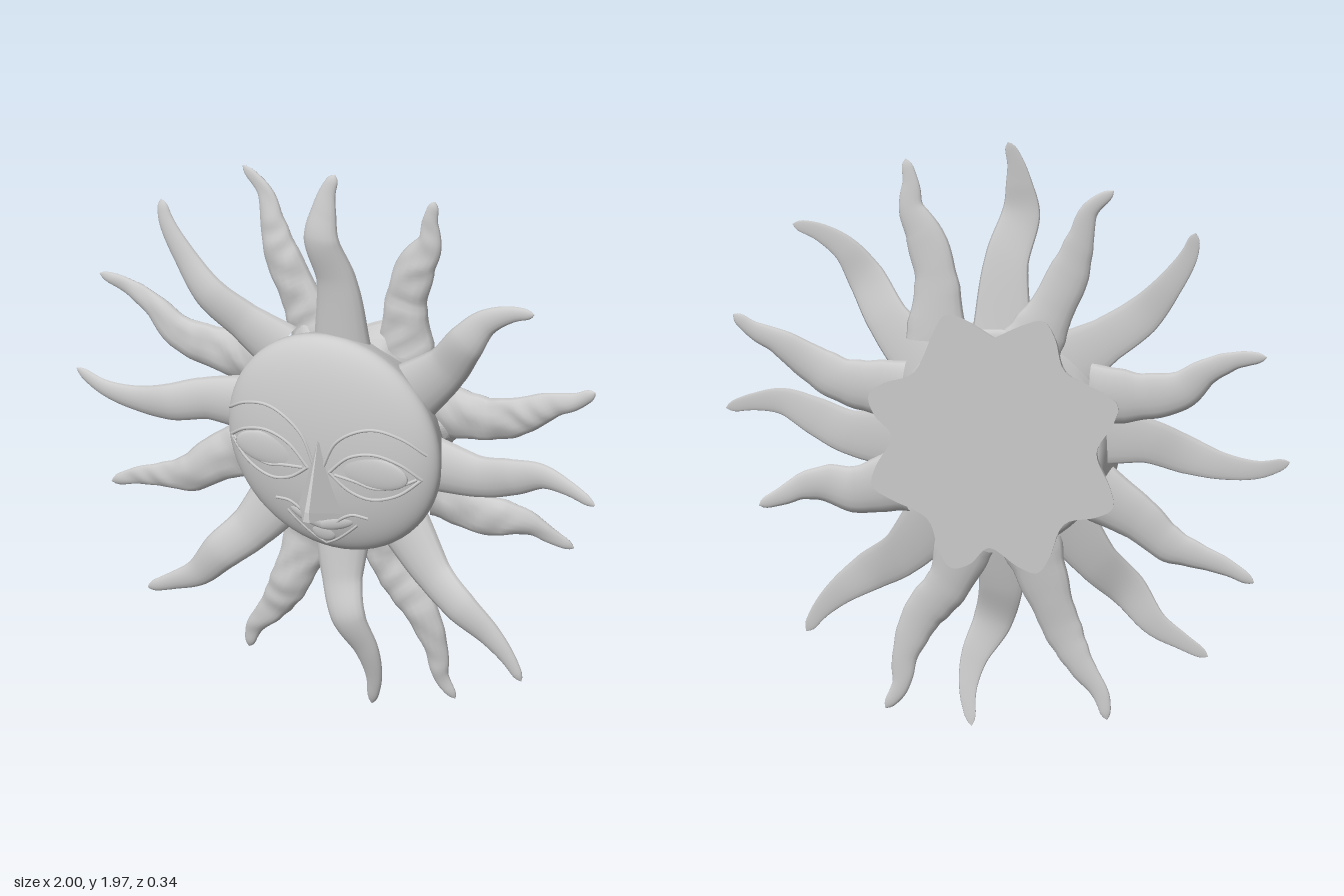
import * as THREE from 'three';
import { ConvexGeometry } from 'three/addons/geometries/ConvexGeometry.js';

const material = new THREE.MeshStandardMaterial({ color: 0xcccccc });
const CX = 0.01, CY = 0.98, R = 0.39, BACK = -0.17;

// Each ray: six centreline points x, y from root to tip, then z at the middle and at the tip
const FRONT_RAYS = [
  [0.01, 1.32, 0.005, 1.57, -0.035, 1.73, -0.03, 1.83, -0.02, 1.9, 0.005, 1.97, -0.01, -0.03],
  [0.27, 1.2, 0.415, 1.345, 0.505, 1.475, 0.575, 1.565, 0.67, 1.62, 0.76, 1.64, 0, 0],
  [0.34, 0.955, 0.54, 0.96, 0.665, 1.0, 0.785, 1.04, 0.89, 1.03, 1.0, 0.997, -0.03, 0.03],
  [0.24, 0.7, 0.37, 0.56, 0.49, 0.485, 0.595, 0.41, 0.665, 0.34, 0.715, 0.265, 0, 0.01],
  [0.01, 0.64, 0.025, 0.47, 0.065, 0.345, 0.12, 0.225, 0.135, 0.117, 0.115, 0.0, -0.01, -0.08],
  [-0.2, 0.73, -0.31, 0.575, -0.405, 0.48, -0.495, 0.375, -0.59, 0.32, -0.685, 0.272, -0.01, -0.02],
  [-0.33, 1.015, -0.49, 1.0, -0.62, 0.96, -0.755, 0.933, -0.885, 0.933, -1.0, 0.97, -0.06, -0.12],
  [-0.22, 1.25, -0.345, 1.33, -0.46, 1.413, -0.555, 1.52, -0.63, 1.632, -0.655, 1.71, -0.04, -0.06],
];
const BACK_RAYS = [
  [0.22, 1.31, 0.222, 1.51, 0.265, 1.655, 0.312, 1.745, 0.316, 1.83, 0.335, 1.91, -0.12, -0.11],
  [0.33, 1.13, 0.543, 1.147, 0.66, 1.195, 0.773, 1.26, 0.864, 1.296, 0.935, 1.345, -0.1, -0.1],
  [0.34, 0.83, 0.5, 0.784, 0.6, 0.795, 0.68, 0.785, 0.75, 0.75, 0.83, 0.715, -0.11, -0.15],
  [0.12, 0.64, 0.18, 0.49, 0.275, 0.373, 0.33, 0.24, 0.345, 0.133, 0.395, 0.055, -0.12, -0.14],
  [-0.11, 0.64, -0.168, 0.47, -0.217, 0.347, -0.28, 0.24, -0.35, 0.15, -0.375, 0.065, -0.12, -0.15],
  [-0.34, 0.83, -0.484, 0.747, -0.58, 0.672, -0.676, 0.64, -0.783, 0.608, -0.885, 0.56, -0.13, -0.15],
  [-0.32, 1.16, -0.5, 1.163, -0.623, 1.19, -0.714, 1.259, -0.82, 1.307, -0.93, 1.325, -0.13, -0.15],
  [-0.11, 1.31, -0.18, 1.44, -0.243, 1.573, -0.28, 1.68, -0.313, 1.78, -0.4, 1.855, -0.13, -0.15],
];
const HALF_WIDTHS = [0.105, 0.076, 0.066, 0.046, 0.03, 0.016];

const add = (parent, name, geometry) => {
  const mesh = new THREE.Mesh(geometry, material);
  mesh.name = name;
  parent.add(mesh);
  return mesh;
};

// Front surface of the domed face
const domeZ = (x, y) => {
  const q = Math.min(1, Math.hypot(x - CX, y - CY) / R);
  return -0.02 + 0.105 * Math.sqrt(1 - q * q);
};

// Irregular hammered relief
const relief = (x, y) => Math.sin(x * 33 + 2 * Math.sin(y * 21)) * Math.sin(y * 37 + 2 * Math.sin(x * 17));

// Wavy tapering tongue, rounded in front and flatter behind
function rayGeometry(ray, rootZ, rough, backDepth) {
  const [midZ, tipZ] = ray.slice(12);
  const points = HALF_WIDTHS.map((_, i) => {
    const s = i / 5;
    const z = s < 0.4 ? THREE.MathUtils.lerp(rootZ, midZ, s / 0.4)
      : THREE.MathUtils.lerp(midZ, tipZ, (s - 0.4) / 0.6);
    return new THREE.Vector3(ray[2 * i], ray[2 * i + 1], z);
  });
  const curve = new THREE.CatmullRomCurve3(points);
  const RINGS = 40, SIDES = 16, pos = [], index = [];
  for (let i = 0; i <= RINGS; i++) {
    const t = i / RINGS, k = Math.min(4, Math.floor(t * 5));
    const p = curve.getPoint(t), d = curve.getTangent(t);
    const len = Math.hypot(d.x, d.y);
    let w = THREE.MathUtils.lerp(HALF_WIDTHS[k], HALF_WIDTHS[k + 1], t * 5 - k);
    w *= Math.sqrt(Math.min(1, (1 - t) / 0.06)) + 0.001;
    for (let j = 0; j < SIDES; j++) {
      const a = (j / SIDES) * Math.PI * 2, s = Math.sin(a);
      const c = Math.cos(a) * w * (1 + rough * 0.5 * relief(p.x + 1, p.y));
      const x = p.x - (d.y / len) * c, y = p.y + (d.x / len) * c;
      const z = p.z + s * w * (s > 0 ? 0.48 + rough * relief(x, y) : backDepth);
      pos.push(x, y, Math.max(BACK, z));
      if (i < RINGS) {
        const n = i * SIDES + (j + 1) % SIDES, m = i * SIDES + j;
        index.push(m, n, n + SIDES, m, n + SIDES, m + SIDES);
      }
    }
  }
  const geometry = new THREE.BufferGeometry();
  geometry.setAttribute('position', new THREE.Float32BufferAttribute(pos, 3));
  geometry.setIndex(index);
  geometry.computeVertexNormals();
  return geometry;
}

// Flat back plate with a lobe toward each rear ray, drawn in toward the front
function plateGeometry() {
  const outline = [];
  for (const ray of BACK_RAYS) {
    const a = Math.atan2(ray[3] - CY, ray[2] - CX);
    for (const [da, r] of [[0.38, 0.355], [0.14, 0.42], [0, 0.455], [-0.14, 0.42]]) {
      outline.push(new THREE.Vector2(r * Math.cos(a + da), r * Math.sin(a + da)));
    }
  }
  outline.push(outline[0].clone());
  const shape = new THREE.Shape(new THREE.SplineCurve(outline).getPoints(160));
  const geometry = new THREE.ExtrudeGeometry(shape, { depth: 0.09, steps: 4, bevelEnabled: false });
  const pos = geometry.attributes.position;
  for (let i = 0; i < pos.count; i++) {
    const k = 1 - 0.2 * (pos.getZ(i) / 0.09) ** 2;
    pos.setXY(i, pos.getX(i) * k, pos.getY(i) * k);
  }
  geometry.computeVertexNormals();
  return geometry;
}

// Raised line lying on the face, mirrored by side
function ridge(parent, name, side, xy, radius = 0.006) {
  const flat = new THREE.SplineCurve(xy.map(([x, y]) => new THREE.Vector2(side * x, y)));
  const pts = flat.getPoints(24).map((p) => new THREE.Vector3(p.x, p.y, domeZ(p.x, p.y) - 0.001));
  add(parent, name, new THREE.TubeGeometry(new THREE.CatmullRomCurve3(pts), 32, radius, 8));
}

// Soft swelling on the face
function swelling(parent, name, x, y, rx, ry, rz, roll = 0) {
  const mesh = add(parent, name, new THREE.SphereGeometry(1, 24, 16));
  mesh.scale.set(rx, ry, rz);
  mesh.position.set(x, y, domeZ(x, y) - 0.005);
  mesh.rotation.set((CY - y) * 0.4, x * 0.4, roll);
}

export function createModel() {
  const model = new THREE.Group();
  model.name = 'sunFace';

  // Domed face with its drum behind
  const profile = [[0, -0.15], [0.35, -0.15], [0.365, -0.1], [0.38, -0.06], [R, -0.03]];
  for (let i = 0; i <= 20; i++) {
    const a = (i / 20) * Math.PI / 2;
    profile.push([R * Math.cos(a), -0.02 + 0.105 * Math.sin(a)]);
  }
  const dome = new THREE.LatheGeometry(profile.map(([r, h]) => new THREE.Vector2(Math.max(r, 0), h)), 64);
  dome.rotateX(Math.PI / 2);
  add(model, 'face', dome).position.set(CX, CY, 0);

  add(model, 'backPlate', plateGeometry()).position.set(CX, CY, BACK);

  // Two layers of rays
  const rays = new THREE.Group();
  rays.name = 'rays';
  model.add(rays);
  FRONT_RAYS.forEach((ray) => add(rays, 'frontRay', rayGeometry(ray, -0.08, 0, 0.15)));
  BACK_RAYS.forEach((ray) => add(rays, 'rearRay', rayGeometry(ray, -0.135, 0.1, 0.35)));

  // Nose wedge
  const nose = [[0, 1.03, 0.088], [0, 0.77, 0.05]];
  for (const s of [-1, 1]) {
    nose.push([s * 0.012, 1.0, 0.078], [s * 0.085, 0.765, 0.06], [s * 0.055, 0.765, 0.1],
      [s * 0.012, 0.765, 0.172], [s * 0.008, 0.8, 0.168]);
  }
  add(model, 'nose', new ConvexGeometry(nose.map((p) => new THREE.Vector3(...p))));

  // Brows, closed eyes and mouth
  for (const s of [-1, 1]) {
    ridge(model, 'brow', s, [[0.02, 0.94], [0.06, 1.03], [0.13, 1.085], [0.21, 1.105], [0.3, 1.08], [0.37, 1.03]]);
    ridge(model, 'upperLid', s, [[0.04, 0.92], [0.11, 0.99], [0.2, 1.015], [0.29, 0.99], [0.355, 0.94]]);
    ridge(model, 'lowerLid', s, [[0.04, 0.92], [0.11, 0.865], [0.19, 0.845], [0.28, 0.875], [0.355, 0.94]]);
    ridge(model, 'lashLine', s, [[0.06, 0.915], [0.13, 0.905], [0.2, 0.89], [0.28, 0.91], [0.34, 0.94]]);
    swelling(model, 'eyelid', s * 0.19, 0.945, 0.13, 0.06, 0.011);
    ridge(model, 'smileLine', s, [[0.17, 0.765], [0.12, 0.77], [0.08, 0.75], [0.05, 0.72]]);
    swelling(model, 'upperLip', s * 0.05, 0.72, 0.075, 0.024, 0.011, s * 0.35);
    ridge(model, 'lowerLipEdge', s, [[0.13, 0.73], [0.09, 0.69], [0.045, 0.65], [0, 0.62]], 0.005);
  }
  swelling(model, 'lowerLip', 0, 0.672, 0.045, 0.035, 0.011);
  return model;
}
